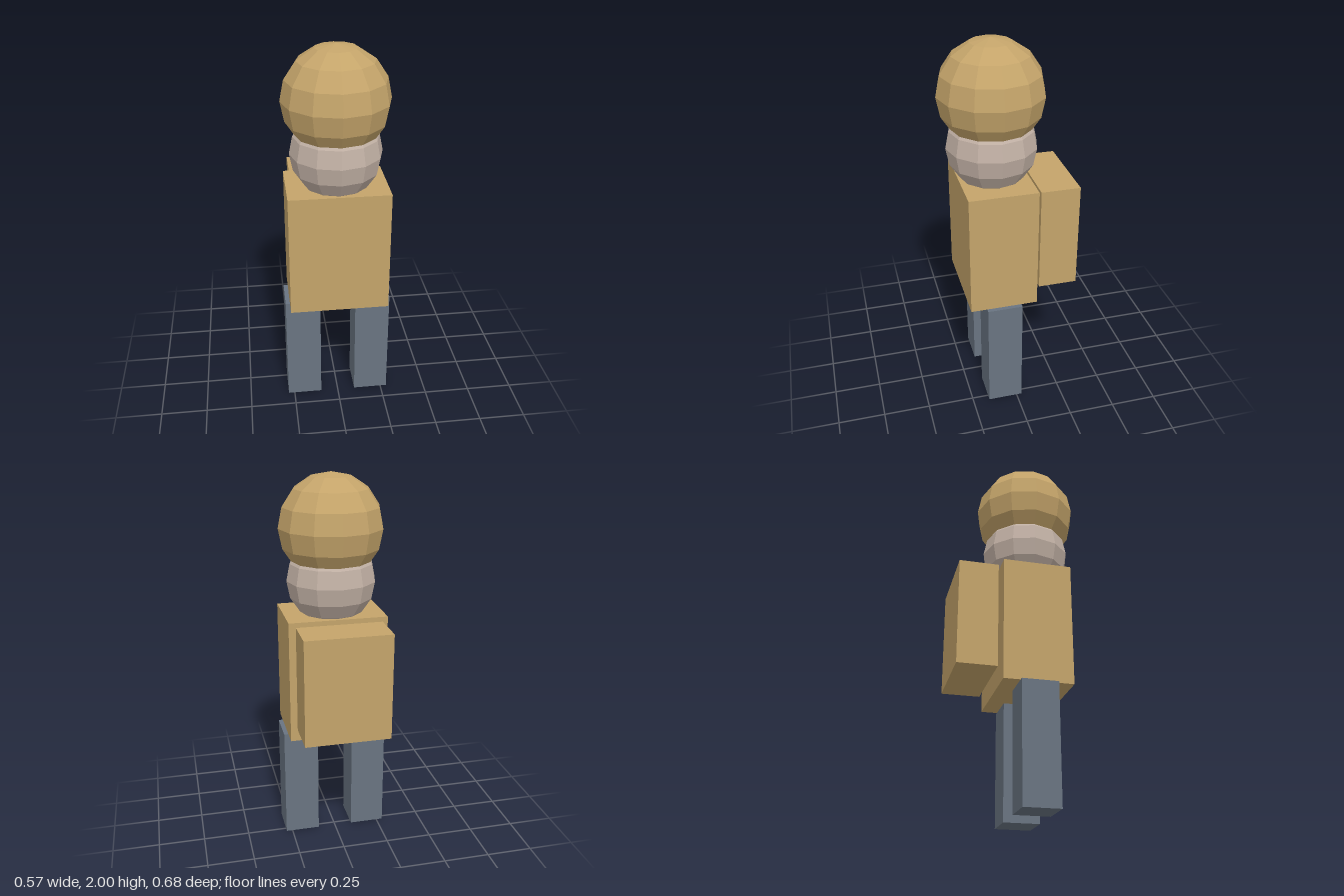
import * as THREE from 'three';

export function createModel() {
  const model = new THREE.Group();
  model.name = 'figure';

  const material = (name, color) => {
    const m = new THREE.MeshStandardMaterial({ color, flatShading: true });
    m.name = name;
    return m;
  };
  const tan = material('tan', 0xc4a46a);
  const skin = material('paleSkin', 0xc2b1a5);
  const slate = material('slate', 0x697481);

  const add = (name, geometry, mat, x, y, z) => {
    const mesh = new THREE.Mesh(geometry, mat);
    mesh.name = name;
    mesh.position.set(x, y, z);
    model.add(mesh);
  };
  const box = (name, mat, w, h, d, x, y, z) =>
    add(name, new THREE.BoxGeometry(w, h, d), mat, x, y, z);
  const ball = (name, mat, r, y) =>
    add(name, new THREE.SphereGeometry(r, 12, 8), mat, 0, y, 0.066);

  // Body and backpack, with a small gap between them
  box('torso', tan, 0.522, 0.662, 0.36, 0, 0.949, 0.066);
  box('backpack', tan, 0.455, 0.57, 0.207, 0, 0.976, -0.238);

  // Legs
  for (const [name, side] of [['leftLeg', 1], ['rightLeg', -1]]) {
    box(name, slate, 0.188, 0.618, 0.188, side * 0.19, 0.309, 0.066);
  }

  // Head, sunk into the torso, and the larger helmet overlapping it
  ball('head', skin, 0.237, 1.451);
  ball('helmet', tan, 0.275, 1.725);

  return model;
}
